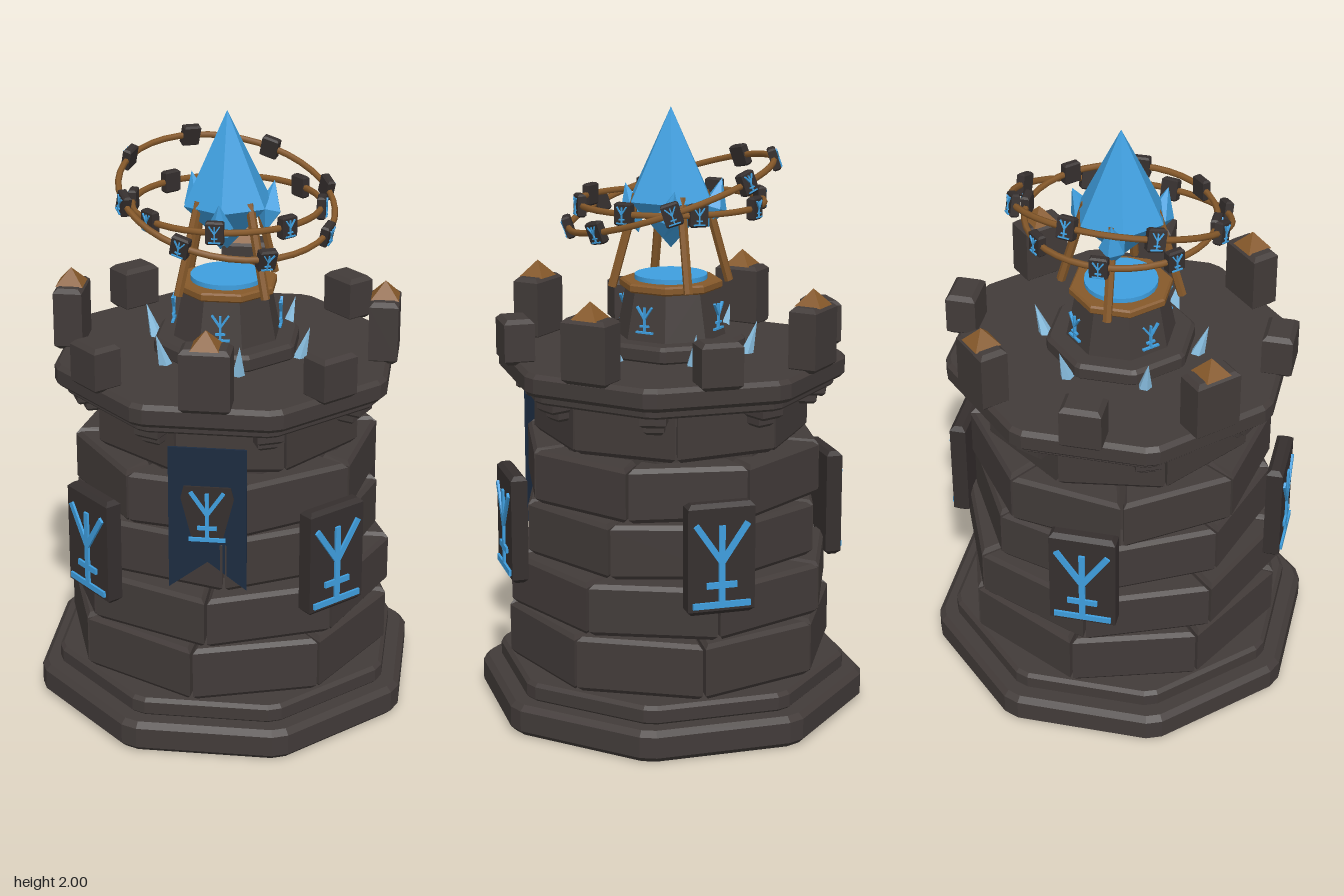
import * as THREE from 'three';

const mat = (name, color) => {
  const m = new THREE.MeshStandardMaterial({ color });
  m.name = name;
  return m;
};
const V = (x, y, z) => new THREE.Vector3(x, y, z);
const RAD = Math.PI / 180;

// faceted copy of a geometry
function flat(g) {
  const f = g.index ? g.toNonIndexed() : g;
  f.computeVertexNormals();
  return f;
}

// vertical prism with chamfered edges, standing on y = 0; outline is [x, -z] pairs
function prism(points, height, bevel) {
  const shape = new THREE.Shape(points.map(([x, y]) => new THREE.Vector2(x, y)));
  const g = new THREE.ExtrudeGeometry(shape, {
    depth: height - 2 * bevel, bevelEnabled: bevel > 0, bevelSegments: 1,
    bevelSize: bevel, bevelThickness: bevel, bevelOffset: -bevel,
  });
  return g.translate(0, 0, bevel).rotateX(-Math.PI / 2);
}

const block = (w, h, d, b) =>
  prism([[-w / 2, -d / 2], [w / 2, -d / 2], [w / 2, d / 2], [-w / 2, d / 2]], h, b);

// octagon with flat sides to the axes and clipped corners
function octagon(apothem, cut) {
  const pts = [], half = apothem * Math.tan(Math.PI / 8) - cut;
  for (let i = 0; i < 8; i++) {
    const a = i * 45 * RAD, c = Math.cos(a), s = Math.sin(a);
    for (const t of [-half, half]) pts.push([apothem * c - t * s, apothem * s + t * c]);
  }
  return pts;
}

export function createModel() {
  const stone = mat('dark stone', 0x423b39);
  const plaqueStone = mat('plaque stone', 0x352f2e);
  const bronze = mat('bronze', 0x86592a);
  const blue = mat('crystal blue', 0x3f9fdf);
  const pale = mat('pale shard blue', 0x8cc3e6);
  const navy = mat('banner navy', 0x1c2b40);

  const root = new THREE.Group();
  root.name = 'crystalTower';
  const add = (name, geo, material, x = 0, y = 0, z = 0, parent = root) => {
    const m = new THREE.Mesh(geo, material);
    m.name = name;
    m.position.set(x, y, z);
    parent.add(m);
    return m;
  };
  // group turned to face outwards at an angle from +z
  const spoke = (name, angle, parent = root) => {
    const g = new THREE.Group();
    g.name = name;
    g.rotation.y = angle;
    parent.add(g);
    return g;
  };
  // bar between two points
  const bar = (name, a, b, r, material, parent) => {
    const d = b.clone().sub(a);
    const m = add(name, flat(new THREE.CylinderGeometry(r, r, d.length(), 6)), material, 0, 0, 0, parent);
    m.position.copy(a).add(b).multiplyScalar(0.5);
    m.quaternion.setFromUnitVectors(V(0, 1, 0), d.normalize());
  };
  // branching glyph facing +z
  const rune = (x, y, z, s, parent, depth = 0.009) => {
    const g = new THREE.Group();
    g.name = 'rune';
    g.position.set(x, y, z);
    parent.add(g);
    const strokes = [[0, -0.14, 0, 0.12], [0, 0, 0.085, 0.125], [0, 0, -0.085, 0.125],
      [-0.05, -0.075, 0.05, -0.075], [-0.095, -0.14, 0.095, -0.14]];
    for (const [x0, y0, x1, y1] of strokes) {
      const len = Math.hypot(x1 - x0, y1 - y0) * s;
      const m = add('runeStroke', new THREE.BoxGeometry(len, 0.02 * s, depth), blue,
        (x0 + x1) / 2 * s, (y0 + y1) / 2 * s, 0, g);
      m.rotation.z = Math.atan2(y1 - y0, x1 - x0);
    }
  };

  // plinth, core and deck
  add('plinth', prism(octagon(0.61, 0.03), 0.105, 0.018), stone);
  add('plinthStep', prism(octagon(0.55, 0.025), 0.065, 0.012), stone, 0, 0.1, 0);
  add('towerCore', prism(octagon(0.385, 0), 1.0, 0), stone, 0, 0.13, 0);
  add('deckUnderside', prism(octagon(0.505, 0.02), 0.04, 0.008), stone, 0, 1.095, 0);
  add('deck', prism(octagon(0.54, 0.025), 0.075, 0.014), stone, 0, 1.125, 0);

  // courses of wedge blocks: bottom, height, corner radius, joint angle
  const courses = [[0.17, 0.185, 0.55, -5], [0.368, 0.172, 0.55, 0], [0.55, 0.18, 0.505, 6],
    [0.742, 0.178, 0.505, 13], [0.93, 0.172, 0.455, -14]];
  const h = 22 * RAD, inner = 0.36;
  courses.forEach(([y, height, r, joint]) => {
    const s = Math.sin(h), c = Math.cos(h);
    const wedge = prism([[-r * s, -r * c], [r * s, -r * c], [inner * s, -inner * c], [-inner * s, -inner * c]],
      height, 0.014);
    for (let i = 0; i < 8; i++)
      add('wallBlock', wedge, stone, 0, y, 0).rotation.y = (joint + 22.5 + i * 45) * RAD;
  });

  // merlons, corbels and rune plaques around the wall
  for (let i = 0; i < 8; i++) {
    const a = i * 45 * RAD, corner = i % 2 === 1;
    const g = spoke(corner ? 'cornerMerlon' : 'cappedMerlon', a);
    if (corner) {
      add('merlon', block(0.135, 0.15, 0.1, 0.014), stone, 0, 1.19, 0.525, g);
      const p = spoke('runePlaque', a);
      add('plaque', block(0.22, 0.365, 0.055, 0.014), plaqueStone, 0, 0.465, 0.545, p);
      rune(0, 0.64, 0.576, 1, p);
    } else {
      add('merlon', block(0.16, 0.21, 0.095, 0.014), stone, 0, 1.19, 0.517, g);
      const cap = flat(new THREE.ConeGeometry(0.064, 0.055, 4).rotateY(Math.PI / 4));
      add('merlonCap', cap, bronze, 0, 1.425, 0.517, g);
    }
    const k = spoke('corbel', a + 22.5 * RAD);
    add('corbelUpper', block(0.085, 0.05, 0.12, 0.01), stone, 0, 1.06, 0.455, k);
    add('corbelLower', block(0.065, 0.04, 0.08, 0.01), stone, 0, 1.03, 0.445, k);
  }

  // swallow-tailed banner on the front
  const cloth = new THREE.Shape([[-0.125, 1.05], [-0.125, 0.56], [0, 0.655], [0.125, 0.56], [0.125, 1.05]]
    .map(([x, y]) => new THREE.Vector2(x, y)));
  add('banner', new THREE.ExtrudeGeometry(cloth, { depth: 0.008, bevelEnabled: false }), navy, 0, 0, 0.492);
  const crest = new THREE.Shape([[-0.075, 0.92], [-0.085, 0.88], [-0.05, 0.74], [0.05, 0.74], [0.085, 0.88], [0.075, 0.92]]
    .map(([x, y]) => new THREE.Vector2(x, y)));
  add('bannerCrest', new THREE.ExtrudeGeometry(crest, { depth: 0.006, bevelEnabled: false }), plaqueStone, 0, 0, 0.5);
  rune(0, 0.825, 0.509, 0.62, root);

  // pedestal
  add('pedestalBase', prism(octagon(0.23, 0.01), 0.06, 0.012), stone, 0, 1.195, 0);
  const drum = new THREE.CylinderGeometry(0.15, 0.182, 0.16, 8).rotateY(Math.PI / 8);
  add('pedestal', flat(drum), stone, 0, 1.33, 0);
  add('bronzePlate', prism(octagon(0.157, 0), 0.03, 0.006), bronze, 0, 1.408, 0);
  add('glowDisc', new THREE.CylinderGeometry(0.12, 0.12, 0.016, 24), blue, 0, 1.446, 0);
  for (let i = 0; i < 4; i++) {
    rune(0, 1.332, 0.177, 0.32, spoke('pedestalRune', i * 90 * RAD));
    bar('crystalLeg', V(0, 1.42, 0.2), V(0, 1.72, 0.115), 0.015, bronze, spoke('leg', (45 + i * 90) * RAD));
  }

  // main crystal with three satellites
  const crystal = (r, up, down, sides) => flat(new THREE.LatheGeometry(
    [[0.0001, -down], [r, 0], [0.0001, up]].map(([x, y]) => new THREE.Vector2(x, y)), sides));
  add('mainCrystal', crystal(0.15, 0.3, 0.16, 6), blue, 0, 1.7, 0);
  [[-0.11, -0.1], [0.13, -0.06], [-0.005, 0.145]].forEach(([x, z], i) => {
    const m = add('smallCrystal', crystal(0.045, 0.1, 0.07, 5), blue, x, 1.665 - i * 0.01, z);
    m.rotation.set(z * 2, i, -x * 2);
  });

  // floating rings carrying rune stones
  const ring = (name, radius, y, normal, start) => {
    const g = new THREE.Group();
    g.name = name;
    g.position.y = y;
    g.quaternion.setFromUnitVectors(V(0, 1, 0), normal.normalize());
    root.add(g);
    add('ringBand', new THREE.TorusGeometry(radius, 0.0105, 6, 40).rotateX(Math.PI / 2), bronze, 0, 0, 0, g);
    for (let i = 0; i < 8; i++) {
      const s = spoke('runeStone', (start + i * 45) * RAD, g);
      add('stoneTablet', block(0.058, 0.074, 0.028, 0.006), plaqueStone, 0, -0.037, radius, s);
      rune(0, 0, radius + 0.016, 0.2, s, 0.006);
    }
  };
  ring('levelRing', 0.305, 1.693, V(0, 1, 0), 0);
  ring('tiltedRing', 0.352, 1.72, V(0.2, 1, 0.27), 29);

  // shards leaning out of the deck
  for (let i = 0; i < 6; i++) {
    const s = spoke('deckShard', (15 + 180 + i * 60) * RAD);
    const g = flat(new THREE.ConeGeometry(0.026, 0.13, 5).translate(0, 0.055, 0));
    add('shard', g, pale, 0, 1.195, 0.255, s).rotation.x = 0.3;
  }
  return root;
}
